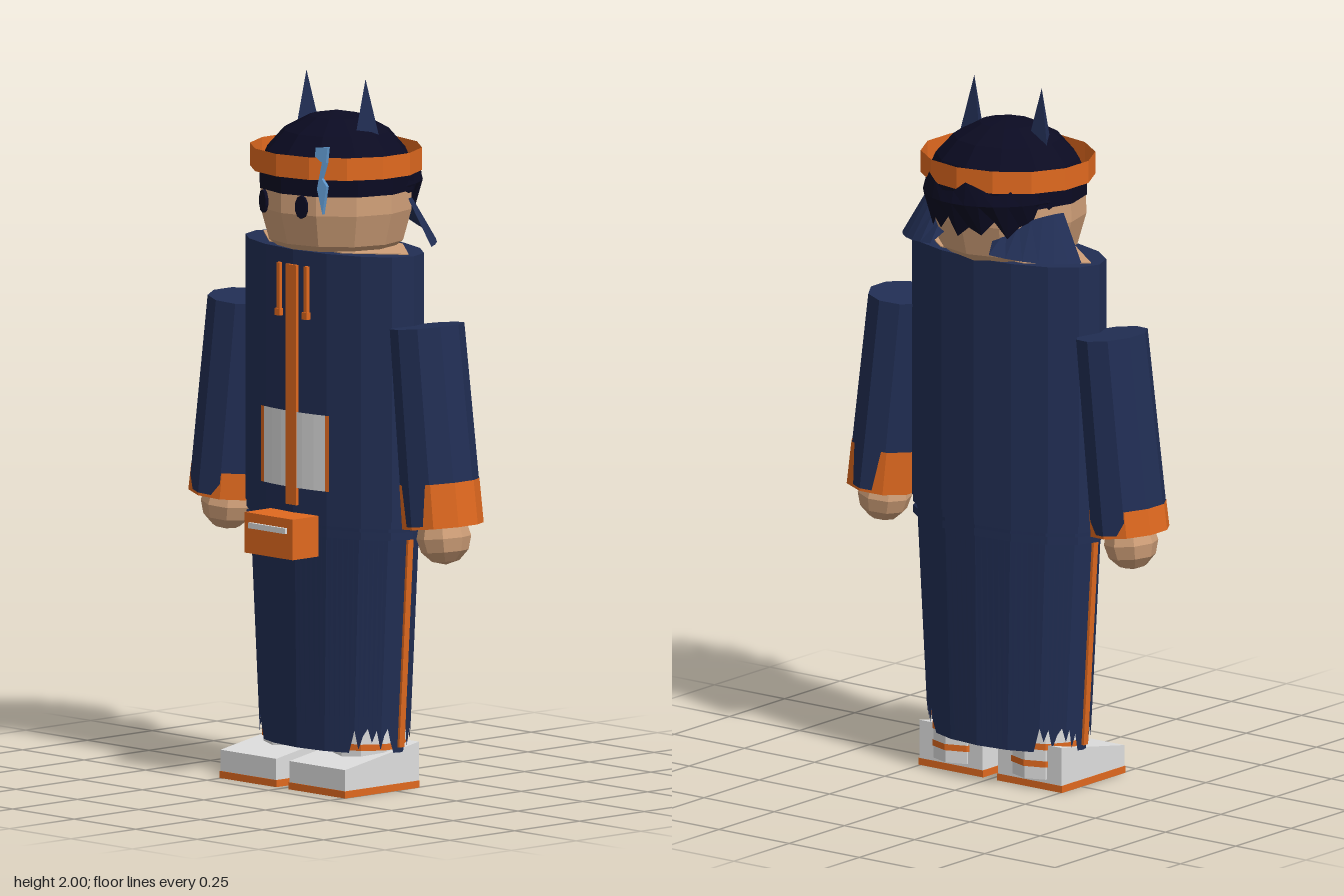
import * as THREE from 'three';

const mat = (name, color) => {
  const m = new THREE.MeshStandardMaterial({ color, flatShading: true, side: THREE.DoubleSide });
  m.name = name;
  return m;
};

export function createModel() {
  const navy = mat('navy cloth', 0x212e54), orange = mat('orange trim', 0xe0691f);
  const skin = mat('skin', 0xcf9f78), hairMat = mat('dark hair', 0x0b0b22);
  const white = mat('off white', 0xdedede), blue = mat('blue clip', 0x5f97cc);
  const model = new THREE.Group();

  const add = (name, geo, material, x = 0, y = 0, z = 0, parent = model) => {
    const m = new THREE.Mesh(geo, material);
    m.name = name;
    m.position.set(x, y, z);
    parent.add(m);
    return m;
  };
  const box = (name, material, w, h, d, x, y, z) => add(name, new THREE.BoxGeometry(w, h, d), material, x, y, z);

  // Elliptical tube; radii rx/rz at the bottom and top, optionally only an arc
  const tube = (rt, rb, h, squash, sides, open = false, start = 0, len = Math.PI * 2) =>
    new THREE.CylinderGeometry(rt, rb, h, sides, 1, open, start, len).scale(1, 1, squash);

  // Sheet between a lower and an upper edge, each given as a rule u -> [x, y, z]
  const sheet = (n, low, high) => {
    const pos = [], idx = [];
    for (let i = 0; i <= n; i++) {
      pos.push(...low(i / n), ...high(i / n));
      if (i < n) idx.push(2 * i, 2 * i + 2, 2 * i + 1, 2 * i + 1, 2 * i + 2, 2 * i + 3);
    }
    const g = new THREE.BufferGeometry();
    g.setAttribute('position', new THREE.Float32BufferAttribute(pos, 3));
    g.setIndex(idx);
    g.computeVertexNormals();
    return g;
  };

  // Coat: upper body, waist bands and a skirt with a ragged hem
  const cz = -0.005;
  add('coatTop', tube(0.322, 0.322, 0.75, 0.5, 16), navy, 0, 1.147, cz);
  for (const y of [0.73, 0.762]) add('waistBand', tube(0.318, 0.318, 0.022, 0.5, 16, true), navy, 0, y, cz);
  const faceted = (u, rx, rz, y) => {
    const f = u * 16, i = Math.floor(f), t = f - i, a = i * Math.PI / 8, b = a + Math.PI / 8;
    return [rx * (Math.sin(a) * (1 - t) + Math.sin(b) * t), y, cz + rz * (Math.cos(a) * (1 - t) + Math.cos(b) * t)];
  };
  const ragged = [0.18, 0.14, 0.175, 0.12, 0.16];
  const hem = (u) => {
    const s = Math.abs(Math.sin(u * Math.PI * 2));
    const y = s > 0.66 && s < 0.985 ? ragged[Math.round(u * 96) % 5] : 0.11;
    const k = (y - 0.11) / 0.68;
    return faceted(u, 0.265 + 0.042 * k, 0.147 + 0.007 * k, y);
  };
  add('coatSkirt', sheet(96, hem, (u) => faceted(u, 0.307, 0.155, 0.79)), navy);

  // Front zip, drawstrings, chest panel and belt pouch
  box('zip', orange, 0.042, 0.68, 0.012, 0, 1.14, 0.158);
  for (const s of [-1, 1]) {
    box('drawstring', orange, 0.012, 0.14, 0.012, s * 0.055, 1.41, 0.156);
    box('drawstringEnd', orange, 0.02, 0.02, 0.02, s * 0.055, 1.34, 0.156);
  }
  add('chestPanel', tube(0.335, 0.335, 0.215, 0.5, 6, true, -0.38, 0.76), white, 0, 0.957, cz);
  for (const a of [-0.425, 0.38])
    add('panelEdge', tube(0.335, 0.335, 0.215, 0.5, 1, true, a, 0.045), orange, 0, 0.957, cz);
  box('pouch', orange, 0.195, 0.115, 0.1, 0, 0.72, 0.2);
  box('pouchStrip', white, 0.15, 0.016, 0.009, 0, 0.743, 0.254);

  // Legs, shoes and side stripes
  const wedge = new THREE.Shape([[-0.09, 0.018], [0.195, 0.018], [0.195, 0.08], [-0.09, 0.13]]
    .map(([z, y]) => new THREE.Vector2(z, y)));
  for (const s of [-1, 1]) {
    const x = s * 0.14;
    add('leg', tube(0.1, 0.1, 0.19, 1.08, 10), white, x, 0.125, -0.006);
    for (const y of [0.075, 0.125]) add('legBand', tube(0.104, 0.104, 0.018, 1.08, 10, true), orange, x, y, -0.006);
    const shoe = add('shoe', new THREE.ExtrudeGeometry(wedge, { depth: 0.226, bevelEnabled: false }), white, x + 0.113);
    shoe.rotation.y = -Math.PI / 2;
    box('sole', orange, 0.23, 0.02, 0.287, x, 0.01, 0.053);
    const stripe = box('sideStripe', orange, 0.008, 0.6, 0.02, s * 0.288, 0.425, cz);
    stripe.rotation.z = -s * 0.062;
  }

  // Arms with cuffs of different lengths
  for (const s of [-1, 1]) {
    const arm = new THREE.Group();
    arm.name = s > 0 ? 'leftArm' : 'rightArm';
    arm.position.set(s * 0.37, 1.33, -0.01);
    arm.rotation.z = s * 0.115;
    model.add(arm);
    const cuff = s > 0 ? 0.125 : 0.075;
    add('sleeve', tube(0.096, 0.103, 0.555, 1.17, 10), navy, 0, -0.2775, 0, arm);
    add('cuff', tube(0.107, 0.109, cuff, 1.1, 10, true), orange, 0, -0.563 + cuff / 2, 0, arm);
    add('hand', new THREE.SphereGeometry(0.077, 8, 6), skin, 0, -0.595, 0, arm);
  }

  // Neck opening and head
  add('neckOpening', tube(0.295, 0.295, 0.02, 0.45, 6).rotateY(0), skin, 0, 1.515, -0.01).geometry
    .copy(new THREE.CylinderGeometry(0.295, 0.295, 0.02, 6, 1, false, Math.PI / 6 * 3).scale(1, 1, 0.46));
  const headProfile = [[0, 1.465], [0.12, 1.482], [0.2, 1.54], [0.226, 1.63], [0.224, 1.72], [0.17, 1.82]];
  add('head', new THREE.LatheGeometry(headProfile.map((p) => new THREE.Vector2(...p)), 12).scale(1, 1, 0.94), skin, 0, 0, -0.01);
  for (const s of [-1, 1]) {
    const eye = add('eye', new THREE.CylinderGeometry(0.02, 0.02, 0.009, 10).rotateX(Math.PI / 2).scale(1, 1.65, 1),
      hairMat, s * 0.077, 1.655, 0.196);
    eye.rotation.y = s * 0.27;
  }

  // Collar wings, standing behind the head and tapering backwards
  for (const s of [-1, 1]) {
    const edge = (r, y0, y1) => (u) => {
      const a = 0.3 + u * 0.95;
      return [s * r * Math.cos(a), y0 + (y1 - y0) * u * u, -0.01 - r * 0.7 * Math.sin(a)];
    };
    add('collarWing', sheet(6, edge(0.33, 1.54, 1.56), edge(0.25, 1.67, 1.6)), navy);
  }

  // Hair: faceted cap, fringe and a ragged fuller back
  const capProfile = [[0.228, 1.685], [0.228, 1.74], [0.205, 1.79], [0.155, 1.845], [0.08, 1.885], [0, 1.9]];
  add('hairCap', new THREE.LatheGeometry(capProfile.map((p) => new THREE.Vector2(...p)), 12).scale(1.01, 1, 0.94), hairMat, 0, 0, -0.012);
  const backEdge = (r, ys) => (u) => {
    const a = Math.PI * (0.56 + 0.88 * u), y = ys[Math.round(u * 16) % ys.length];
    const k = r * (0.9 + 0.1 * Math.sin(u * Math.PI));
    return [k * Math.sin(a) * 0.95, y, -0.012 + k * Math.cos(a)];
  };
  add('backHairUpper', sheet(16, backEdge(0.255, [1.7]), backEdge(0.246, [1.735, 1.765, 1.75, 1.73])), hairMat);
  add('backHairLower', sheet(16, backEdge(0.225, [1.6, 1.63, 1.61, 1.65]), backEdge(0.255, [1.7])), hairMat);

  // Headband, horns and clip
  add('headband', tube(0.252, 0.252, 0.064, 0.92, 14, true), orange, 0, 1.768, -0.01);
  for (const s of [-1, 1])
    add('horn', new THREE.ConeGeometry(0.042, 0.17, 3), navy, s * 0.12, 1.915, -0.01);
  const clipShape = new THREE.Shape([[-0.02, 0.095], [0.018, 0.1], [0.016, 0.055], [0.005, 0.01], [0.022, -0.01],
    [0.014, -0.09], [-0.008, -0.02], [0.003, 0.055], [-0.02, 0.07]].map((p) => new THREE.Vector2(...p)));
  const clip = add('hairClip', new THREE.ExtrudeGeometry(clipShape, { depth: 0.014, bevelEnabled: false }), blue, 0.142, 1.732, 0.178);
  clip.rotation.set(-0.08, 0.3, 0);

  return model;
}
